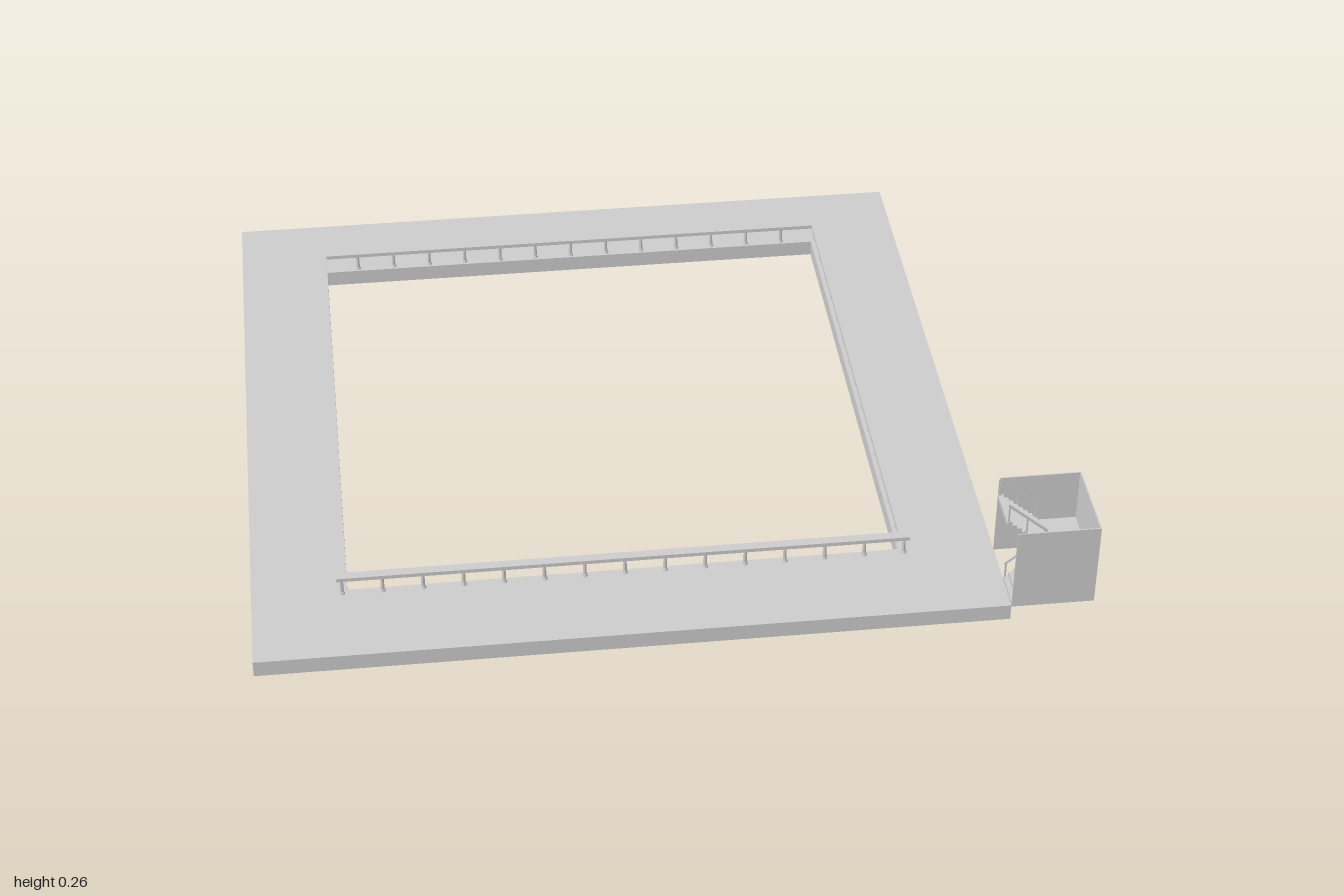
import * as THREE from 'three';

const grey = new THREE.MeshStandardMaterial({ color: 0xcccccc, side: THREE.DoubleSide, flatShading: true });

function add(parent, name, geometry, x = 0, y = 0, z = 0) {
  const mesh = new THREE.Mesh(geometry, grey);
  mesh.name = name;
  mesh.position.set(x, y, z);
  parent.add(mesh);
  return mesh;
}

// Box given by its minimum and maximum corners
function block(parent, name, x0, x1, y0, y1, z0, z1) {
  return add(parent, name, new THREE.BoxGeometry(x1 - x0, y1 - y0, z1 - z0),
    (x0 + x1) / 2, (y0 + y1) / 2, (z0 + z1) / 2);
}

// Flat rectangular ring; each rectangle is [x0, x1, z0, z1]
function ring(parent, name, outer, inner, y, height) {
  const corners = ([x0, x1, z0, z1]) =>
    [[x0, -z0], [x1, -z0], [x1, -z1], [x0, -z1]].map(p => new THREE.Vector2(...p));
  const shape = new THREE.Shape(corners(outer));
  shape.holes.push(new THREE.Path(corners(inner)));
  const geometry = new THREE.ExtrudeGeometry(shape, { depth: height, bevelEnabled: false });
  geometry.rotateX(-Math.PI / 2);
  return add(parent, name, geometry, 0, y, 0);
}

// Stepped flight with a sloping soffit, climbing from (xa, ya) to (xb, yb)
function flight(parent, name, xa, ya, xb, yb, z0, z1, steps = 8) {
  const group = new THREE.Group();
  group.name = name;
  const run = (xb - xa) / steps, rise = (yb - ya) / steps;
  const shape = new THREE.Shape();
  shape.moveTo(xa, ya);
  for (let i = 0; i < steps; i++) {
    shape.lineTo(xa + i * run, ya + (i + 1) * rise);
    shape.lineTo(xa + (i + 1) * run, ya + (i + 1) * rise);
  }
  shape.lineTo(xb, yb - 0.013);
  shape.lineTo(xa + run, ya);
  add(group, 'steps', new THREE.ExtrudeGeometry(shape, { depth: z1 - z0, bevelEnabled: false }), 0, 0, z0);
  // Handrails and their posts on both sides
  const angle = Math.atan2(yb - ya, xb - xa);
  const length = Math.hypot(xb - xa, yb - ya);
  for (const z of [z0 + 0.003, z1 - 0.003]) {
    const rail = add(group, 'handrail', new THREE.BoxGeometry(length, 0.005, 0.005),
      (xa + xb) / 2, (ya + yb) / 2 + 0.05, z);
    rail.rotation.z = angle;
    for (const t of [0.04, 0.5, 0.96]) {
      add(group, 'handrailPost', new THREE.BoxGeometry(0.004, 0.05, 0.004),
        xa + (xb - xa) * t, ya + (yb - ya) * t + 0.025, z);
    }
  }
  parent.add(group);
}

export function createModel() {
  const model = new THREE.Group();
  model.name = 'galleryFloor';

  // Floor slab with a large square opening
  const opening = [-0.77, 0.567, -0.674, 0.661];
  ring(model, 'floorSlab', [-1, 0.8, -0.9, 0.898], opening, 0, 0.042);

  // Balustrade around the opening
  const balustrade = new THREE.Group();
  balustrade.name = 'balustrade';
  model.add(balustrade);
  ring(balustrade, 'topRail', [-0.795, 0.592, -0.698, 0.684], opening, 0.086, 0.01);

  const postGeometry = new THREE.CylinderGeometry(0.004, 0.005, 0.046, 8);
  const baseGeometry = new THREE.CylinderGeometry(0.006, 0.008, 0.006, 8);
  const post = (x, z) => {
    add(balustrade, 'post', postGeometry, x, 0.064, z);
    add(balustrade, 'postBase', baseGeometry, x, 0.045, z);
  };
  const count = 15;
  for (let i = 0; i < count; i++) {
    const t = i / (count - 1);
    const x = THREE.MathUtils.lerp(-0.783, 0.58, t);
    const z = THREE.MathUtils.lerp(-0.686, 0.673, t);
    post(x, -0.686);
    post(x, 0.673);
    if (i > 0 && i < count - 1) {
      post(-0.783, z);
      post(0.58, z);
    }
  }

  // Stair tower: three thin walls, open at the top and towards the floor
  const tower = new THREE.Group();
  tower.name = 'stairTower';
  model.add(tower);
  block(tower, 'backWall', 0.8, 1, 0.04, 0.262, 0.684, 0.687);
  block(tower, 'frontWall', 0.8, 1, 0.04, 0.262, 0.897, 0.9);
  block(tower, 'endWall', 0.997, 1, 0.04, 0.262, 0.684, 0.9);

  // Half landing joining the two flights
  block(tower, 'landing', 0.9, 0.997, 0.115, 0.125, 0.687, 0.897);
  flight(tower, 'lowerFlight', 0.8, 0.04, 0.9, 0.125, 0.797, 0.897);
  flight(tower, 'upperFlight', 0.9, 0.125, 0.8, 0.212, 0.687, 0.793);

  return model;
}
